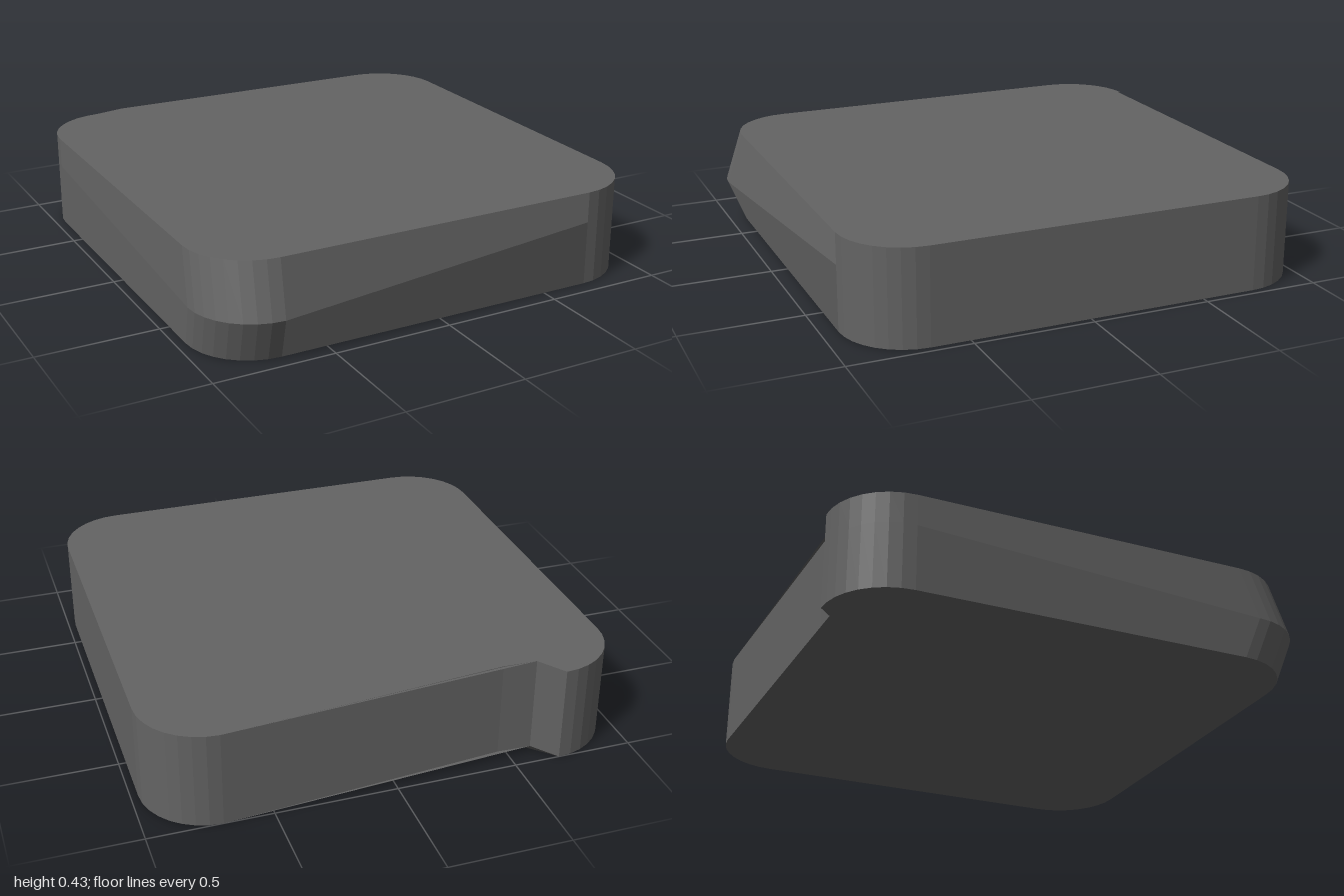
import * as THREE from 'three';

const RADIUS = 0.27, SEGMENTS = 8, HEIGHT = 0.4;

// Corner centres [x, z] and start angles, running clockwise seen from above
const CORNERS = [
  { x: 0.7, z: -0.73, start: -Math.PI / 2 },                // back left
  { x: 0.7, z: 0.66, start: 0 },                            // front left
  { x: -0.69, z: 0.66, start: Math.PI / 2, bulge: true },   // front right, pushed out at mid height
  { x: -0.69, z: -0.73, start: Math.PI },                   // back right
];

// One outline of the slab; the middle one carries the bulged corner
function makeRing(y, isMiddle) {
  // two notch points on the back edge, pushed in and up
  const ring = [[-0.59, y + 0.03, -0.935], [-0.45, y + 0.03, -0.93]];
  for (const c of CORNERS) {
    const out = isMiddle && c.bulge;
    for (let i = 0; i <= SEGMENTS; i++) {
      const a = c.start + (i / SEGMENTS) * Math.PI / 2;
      ring.push([
        c.x + RADIUS * Math.cos(a) - (out ? 0.015 : 0),
        out ? 0.18 : y,
        c.z + RADIUS * Math.sin(a) + (out ? 0.07 : 0),
      ]);
    }
  }
  return ring.map((p) => new THREE.Vector3(...p));
}

export function createModel() {
  const rings = [makeRing(0, false), makeRing(0.27, true), makeRing(HEIGHT, false)];
  const n = rings[0].length;
  const last = n - 1;
  const crease = 2 + SEGMENTS + 1; // where the raised fan of the cap ends
  const positions = [], normals = [];
  const tri = (normal, ...corners) => {
    for (const p of corners) {
      positions.push(p.x, p.y, p.z);
      normals.push(normal.x, normal.y, normal.z);
    }
  };

  // Side walls between neighbouring outlines, one even normal per panel
  for (let k = 0; k < 2; k++) {
    const lo = rings[k], hi = rings[k + 1];
    for (let i = 0; i < n; i++) {
      const j = (i + 1) % n;
      const rise = hi[i].clone().sub(lo[j]);
      const normal = hi[j].clone().sub(lo[i]).cross(rise).negate().normalize();
      if (normal.dot(new THREE.Vector3(lo[i].x, 0, lo[i].z)) < 0) normal.negate();
      tri(normal, lo[i], hi[i], hi[j]);
      tri(normal, lo[i], hi[j], lo[j]);
    }
  }

  // Caps: a raised fan around the notch point and a flat fan for the rest, shaded as one plane
  const cap = (ring, up) => {
    const normal = new THREE.Vector3(0, up ? 1 : -1, 0);
    const face = (a, b, c) => tri(normal, ring[a], ring[up ? c : b], ring[up ? b : c]);
    for (let i = 1; i < crease; i++) face(0, i, i + 1);
    face(0, crease, last);
    for (let i = crease; i < last - 1; i++) face(last, i, i + 1);
  };
  cap(rings[2], true);
  cap(rings[0], false);

  const geometry = new THREE.BufferGeometry();
  geometry.setAttribute('position', new THREE.Float32BufferAttribute(positions, 3));
  geometry.setAttribute('normal', new THREE.Float32BufferAttribute(normals, 3));

  const slab = new THREE.Mesh(geometry, new THREE.MeshStandardMaterial({ color: 0x646464 }));
  slab.name = 'roundedSlab';

  const group = new THREE.Group();
  group.name = 'dentedSlab';
  group.add(slab);
  return group;
}
